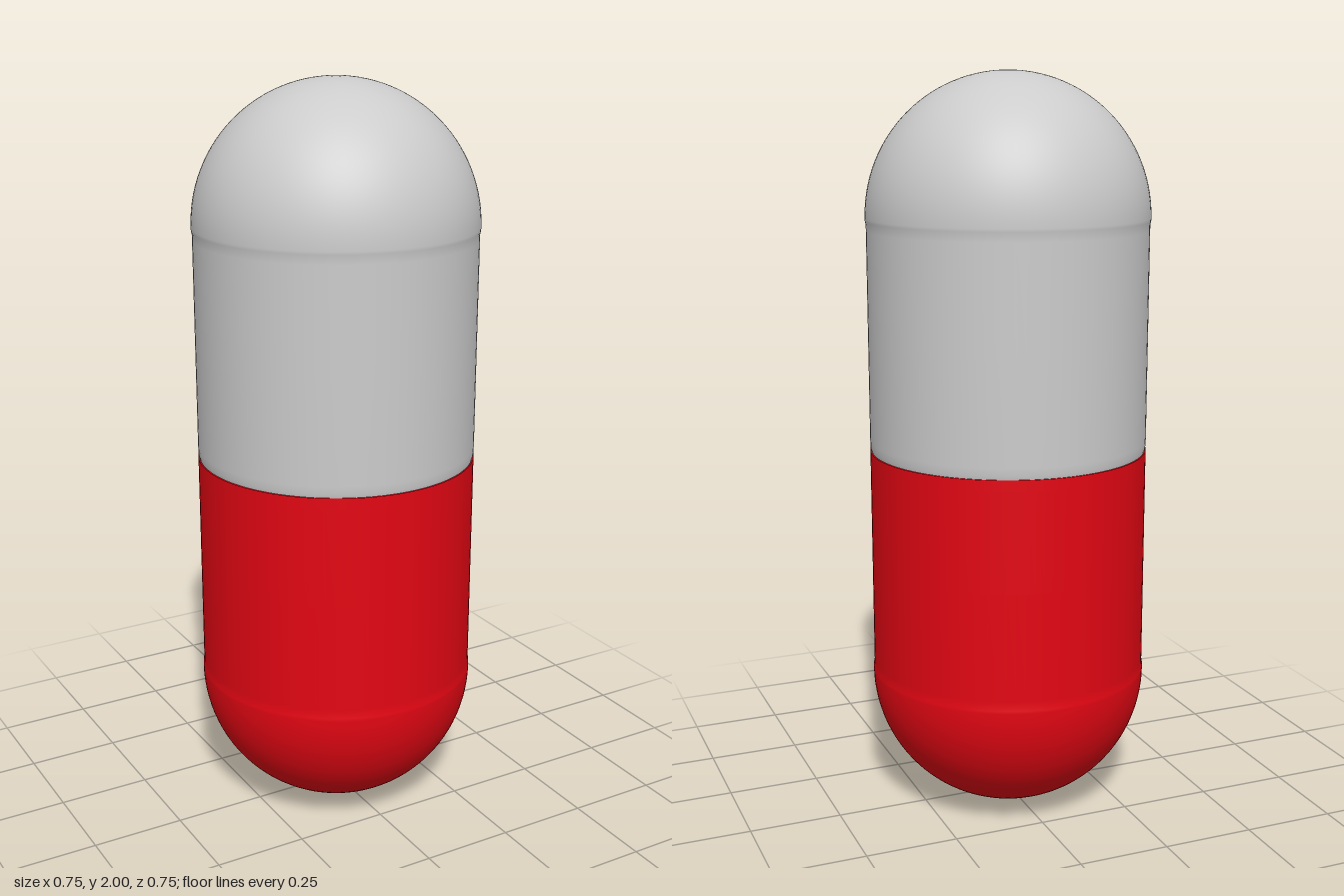
import * as THREE from 'three';

const R = 0.377;    // dome radius
const BODY = 0.3745; // tube radius, a hair narrower than the domes
const MID = 1;      // height of the joint between the halves

// Quarter-circle profile of the upper dome, from its rim to the pole
function domeProfile(steps = 28) {
  const points = [];
  for (let i = 0; i <= steps; i++) {
    const a = (i / steps) * Math.PI / 2;
    points.push(new THREE.Vector2(i === steps ? 0 : R * Math.cos(a), 2 - R + R * Math.sin(a)));
  }
  return points;
}

function half(name, profile, color) {
  const mesh = new THREE.Mesh(
    new THREE.LatheGeometry(profile, 96),
    new THREE.MeshStandardMaterial({ color, side: THREE.DoubleSide })
  );
  mesh.name = name;
  return mesh;
}

export function createModel() {
  const group = new THREE.Group();
  group.name = 'capsule';
  const v = (x, y) => new THREE.Vector2(x, y);

  // Tube wall with a shallow step up to the dome rim
  const wall = [v(BODY, MID + 0.03), v(BODY, 1.3), v(BODY, 1.59), v(BODY, 1.605), v(R - 0.0003, 1.615)];
  const dome = domeProfile();

  // Upper half: slightly rounded lip at the joint
  const upper = [v(BODY - 0.003, MID), v(BODY - 0.001, MID + 0.01), ...wall, ...dome];
  group.add(half('upperShell', upper, 0xcccccc));

  // Lower half: same profile mirrored, with a straight edge at the joint
  const lower = [v(BODY, MID), ...wall, ...dome].map(p => v(p.x, 2 * MID - p.y)).reverse();
  group.add(half('lowerShell', lower, 0xe30613));

  return group;
}
